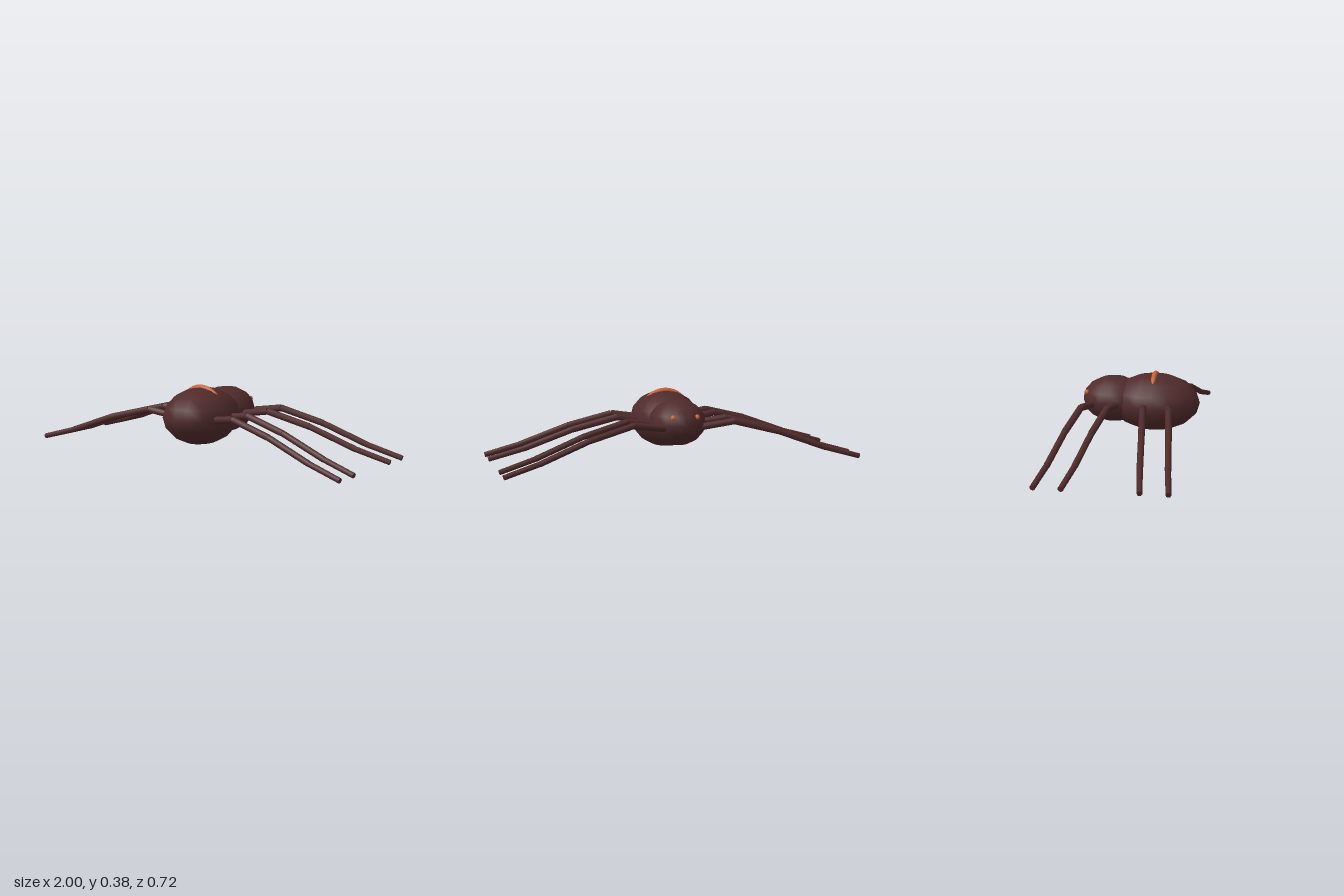
import * as THREE from 'three';

export function createModel() {
  const root = new THREE.Group();
  const brown = new THREE.MeshStandardMaterial({ color: 0x502b2b });
  brown.name = 'dark brown';
  const orange = new THREE.MeshStandardMaterial({ color: 0xcc6638 });
  orange.name = 'orange';

  const add = (parent, name, geometry, material) => {
    const mesh = new THREE.Mesh(geometry, material);
    mesh.name = name;
    parent.add(mesh);
    return mesh;
  };

  // Body: two overlapping ellipsoids
  const ellipsoid = (name, [x, y, z], radii) => {
    const mesh = add(root, name, new THREE.SphereGeometry(1, 16, 8), brown);
    mesh.scale.set(...radii);
    mesh.position.set(x, y, z);
  };
  ellipsoid('abdomen', [0, 0.21, 0.11], [0.19, 0.157, 0.25]);
  ellipsoid('head', [0, 0.22, -0.12], [0.155, 0.127, 0.175]);

  // Arched marking that sinks into the abdomen at both ends
  const stripe = add(root, 'backStripe', new THREE.TorusGeometry(0.137, 0.015, 6, 16, Math.PI), orange);
  stripe.position.set(0, 0.23, 0.11);

  // Straight tapered leg segment between two points
  const up = new THREE.Vector3(0, 1, 0);
  const segment = (parent, name, a, b, rStart, rEnd) => {
    const axis = b.clone().sub(a);
    const mesh = add(parent, name, new THREE.CylinderGeometry(rEnd, rStart, axis.length(), 8), brown);
    mesh.position.copy(a).add(b).multiplyScalar(0.5);
    mesh.quaternion.setFromUnitVectors(up, axis.normalize());
  };

  const jointX = [0.1, 0.285, 0.535, 0.8, 0.995];
  const jointY = [0.204, 0.232, 0.168, 0.07, 0.0155];
  const radii = [0.02, 0.0185, 0.017, 0.0155, 0.0145];
  const partNames = ['hip', 'thigh', 'shin', 'foot'];
  // z of each leg's joints from hip to tip
  const legs = {
    firstLeg: [0.195, 0.222, 0.255, 0.288, 0.316],
    secondLeg: [0.06, 0.083, 0.115, 0.148, 0.177],
    thirdLeg: [-0.085, -0.112, -0.145, -0.18, -0.209],
    fourthLeg: [-0.226, -0.253, -0.286, -0.32, -0.348],
  };

  for (const [sideName, side] of [['left', 1], ['right', -1]]) {
    // Eyes
    const eye = add(root, sideName + 'Eye', new THREE.SphereGeometry(0.0145, 8, 6), orange);
    eye.position.set(side * 0.068, 0.265, -0.263);

    // Four legs of four segments each
    for (const [legName, zs] of Object.entries(legs)) {
      const leg = new THREE.Group();
      leg.name = sideName + ' ' + legName;
      root.add(leg);
      const points = zs.map((z, i) => new THREE.Vector3(side * jointX[i], jointY[i], z));
      partNames.forEach((name, i) =>
        segment(leg, name, points[i], points[i + 1], radii[i], i < 3 ? radii[i] * 0.97 : radii[4]));
    }
  }
  return root;
}
